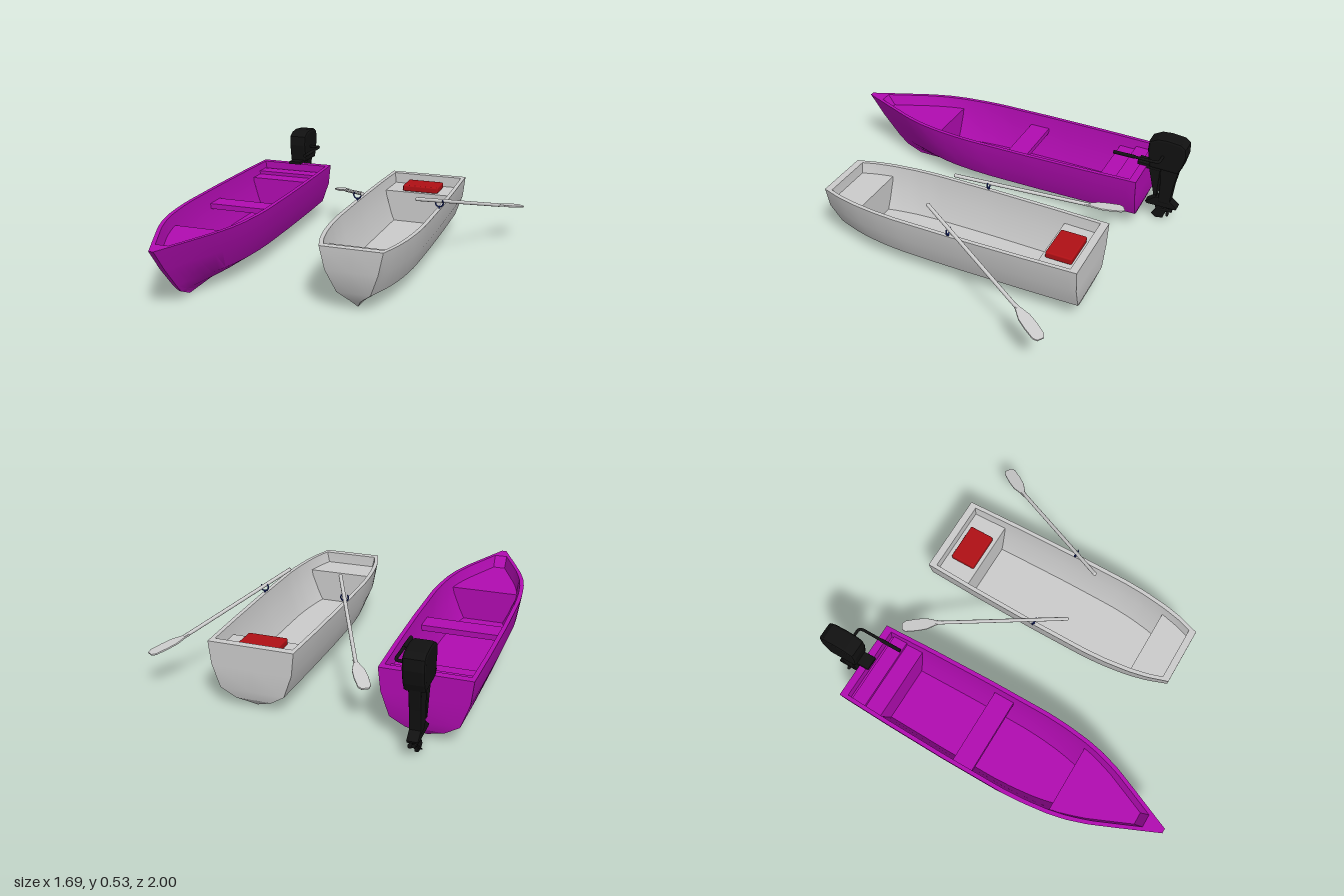
import * as THREE from 'three';
import { toCreasedNormals } from 'three/addons/utils/BufferGeometryUtils.js';
import { RoundedBoxGeometry } from 'three/addons/geometries/RoundedBoxGeometry.js';

const mat = (color, side = THREE.FrontSide) => new THREE.MeshStandardMaterial({ color, side });
const { lerp } = THREE.MathUtils;

function add(parent, name, geometry, material) {
  const mesh = new THREE.Mesh(geometry, material);
  mesh.name = name;
  parent.add(mesh);
  return mesh;
}

// Piecewise linear lookup
function table(xs, ys, x) {
  let i = 1;
  while (i < xs.length - 1 && x > xs[i]) i++;
  return lerp(ys[i - 1], ys[i], THREE.MathUtils.clamp((x - xs[i - 1]) / (xs[i] - xs[i - 1]), 0, 1));
}

// Surface through rows of points; capped ends fold to the centre line
function loft(rows, caps = true) {
  const fold = row => row.map(p => [0, p[1], p[2]]);
  const all = caps ? [fold(rows[0]), ...rows, fold(rows[rows.length - 1])] : rows;
  const n = all[0].length, index = [];
  for (let i = 0; i < all.length - 1; i++) {
    for (let j = 0; j < n - 1; j++) {
      const a = i * n + j, d = a + n;
      index.push(a, a + 1, d + 1, a, d + 1, d);
    }
  }
  const g = new THREE.BufferGeometry();
  g.setAttribute('position', new THREE.Float32BufferAttribute(all.flat(2), 3));
  g.setIndex(index);
  return toCreasedNormals(g, 0.45);
}

// Hull measures shared by both boats
const TOP = 0.34, FLOOR = 0.1, STERN = -0.79, WALL = 0.022;
const LEVELS = [0.005, 0.05, FLOOR, 0.22, TOP];
const WIDTH_RATIO = [0, 0.42, 0.75, 0.94, 1];
const STERN_Z = [-0.73, -0.775, STERN, STERN, STERN];
const PLAN_Z = [-0.79, -0.5, -0.15, 0.2, 0.32, 0.45, 0.55, 0.66, 0.8, 1];
const PLAN_W = [0.223, 0.233, 0.24, 0.24, 0.233, 0.217, 0.196, 0.16, 0.1, 0.013];

function makeBoat(name, material, bowZ, bowInset, pinch) {
  const boat = new THREE.Group();
  boat.name = name;
  const bow = bowZ[4], length = bow - STERN;
  const zAt = (y, s) => lerp(table(LEVELS, STERN_Z, y), table(LEVELS, bowZ, y), s);
  const halfAt = (y, s) => table(PLAN_Z, PLAN_W, lerp(STERN, bow, s)) *
    (table(LEVELS, WIDTH_RATIO, y) - (y > 0.01 ? pinch * (1 - y / TOP) * s ** 8 : 0));
  const innerHalf = (y, s) => Math.max(0.006, halfAt(y, s) - WALL);
  const steps = 36, s0 = 0.04 / length, s1 = 1 - bowInset / length;

  // Outer skin, inner skin with floor, and the rim joining them
  const outer = [], inner = [], rimOut = [], rimIn = [];
  for (let i = 0; i <= steps; i++) {
    const s = i / steps, t = lerp(s0, s1, s);
    const o = LEVELS.map(y => [halfAt(y, s), y, zAt(y, s)]);
    const n = [[0, FLOOR, zAt(FLOOR, t)], ...[FLOOR, 0.22, TOP].map(y => [innerHalf(y, t), y, zAt(y, t)])];
    const mirror = half => [...half.slice(1).reverse().map(p => [-p[0], p[1], p[2]]), ...half];
    outer.push(mirror(o));
    inner.push(mirror(n).reverse());
    rimOut.push(o[4]);
    rimIn.push(n[3]);
  }
  const ring = side => [...side, ...side.map(p => [-p[0], p[1], p[2]]).reverse(), side[0]];
  add(boat, 'hull', loft(outer), material);
  add(boat, 'hullInterior', loft(inner), material);
  add(boat, 'gunwale', loft([ring(rimIn), ring(rimOut)], false), material);

  // Board spanning the boat from wall to wall
  const board = (label, z0, z1, y0, y1) => {
    const rows = [];
    for (let i = 0; i <= 8; i++) {
      const z = lerp(z0, z1, i / 8);
      const half = y => innerHalf(y, THREE.MathUtils.clamp((z - zAt(y, 0)) / (zAt(y, 1) - zAt(y, 0)), 0, 1)) + 0.004;
      const a = half(y0), b = half(y1);
      rows.push([[-b, y1, z], [-a, y0, z], [a, y0, z], [b, y1, z], [-b, y1, z]]);
    }
    add(boat, label, loft(rows), material);
  };
  board('sternSeat', -0.755, -0.56, FLOOR, 0.28);
  board('bowSeat', 0.45, bow - bowInset, 0.255, 0.28);
  board('bowBulkhead', 0.45, 0.465, FLOOR, 0.27);
  return { boat, board };
}

// Side profile of [z, y] points extruded across x
function profile(points, width, bevel = 0.008) {
  const shape = new THREE.Shape(points.map(p => new THREE.Vector2(...p)));
  const depth = width - 2 * bevel;
  return new THREE.ExtrudeGeometry(shape, {
    depth, bevelEnabled: bevel > 0, bevelSize: bevel, bevelOffset: -bevel, bevelThickness: bevel, bevelSegments: 2,
  }).translate(0, 0, -depth / 2).rotateY(-Math.PI / 2);
}

function makeMotor() {
  const motor = new THREE.Group();
  motor.name = 'outboardMotor';
  const black = mat(0x111111);
  add(motor, 'engineCover', profile([[-0.805, 0.345], [-0.965, 0.34], [-0.985, 0.38], [-1, 0.45], [-0.995, 0.505],
    [-0.965, 0.527], [-0.89, 0.535], [-0.835, 0.53], [-0.79, 0.505], [-0.787, 0.45]], 0.106, 0.014), black);
  add(motor, 'leg', profile([[-0.86, 0.35], [-0.968, 0.35], [-0.95, 0.24], [-0.94, 0.12], [-0.875, 0.12], [-0.872, 0.24]], 0.06), black);
  add(motor, 'clampTop', profile([[-0.735, 0.356], [-0.735, 0.34], [-0.8, 0.325], [-0.87, 0.325], [-0.87, 0.35]], 0.075, 0.004), black);
  add(motor, 'clampBracket', profile([[-0.797, 0.345], [-0.866, 0.345], [-0.862, 0.16], [-0.845, 0.16], [-0.822, 0.25]], 0.06, 0.004), black);
  add(motor, 'splashPlate', profile([[-0.86, 0.15], [-0.802, 0.105], [-0.81, 0.093], [-0.98, 0.093], [-0.985, 0.105], [-0.94, 0.14]], 0.055, 0.004), black);
  add(motor, 'skeg', profile([[-0.85, 0.1], [-0.93, 0.1], [-0.92, 0.05], [-0.908, 0.01], [-0.868, 0.003], [-0.84, 0.022], [-0.862, 0.06]], 0.02, 0.004), black);

  // Propeller
  const hub = add(motor, 'propellerHub', new THREE.CylinderGeometry(0.01, 0.014, 0.06, 12).rotateX(-Math.PI / 2), black);
  hub.position.set(0, 0.065, -0.925);
  for (let i = 0; i < 3; i++) {
    const blade = add(motor, 'propellerBlade', new THREE.SphereGeometry(1, 10, 6).scale(0.013, 0.018, 0.003).rotateY(0.6).translate(0, 0.022, 0), black);
    blade.position.set(0, 0.065, -0.935);
    blade.rotation.z = i * Math.PI * 2 / 3;
  }

  // Tiller arm with grip
  const bend = [[0.03, 0.43, -0.875], [0.1, 0.43, -0.875], [0.113, 0.43, -0.87], [0.118, 0.43, -0.85], [0.118, 0.43, -0.62]];
  const path = new THREE.CurvePath();
  const pts = bend.map(p => new THREE.Vector3(...p));
  for (let i = 1; i < pts.length; i++) path.add(new THREE.LineCurve3(pts[i - 1], pts[i]));
  add(motor, 'tiller', new THREE.TubeGeometry(path, 60, 0.008, 10), black);
  add(motor, 'tillerGrip', new THREE.CylinderGeometry(0.01, 0.01, 0.12, 12).rotateX(Math.PI / 2).translate(0.118, 0.43, -0.68), black);
  return motor;
}

// Oar with its lock; side is +1 or -1
function makeOar(side) {
  const oar = new THREE.Group();
  oar.name = side > 0 ? 'leftOar' : 'rightOar';
  const grey = mat(0xcccccc), blue = mat(0x1a2a80);
  const v = (x, y, z) => new THREE.Vector3(side * x, y, z);
  const handle = v(0.15, 0.426, 0.04), neck = v(0.465, 0.243, -0.6), tip = v(0.558, 0.207, -0.745);
  add(oar, 'oarShaft', new THREE.TubeGeometry(new THREE.LineCurve3(handle, neck), 1, 0.01, 10), grey);
  const cap = add(oar, 'handleEnd', new THREE.SphereGeometry(0.0105, 10, 8), grey);
  cap.position.copy(handle);

  // Blade lies flat along the line from neck to tip
  const dir = tip.clone().sub(neck), len = dir.length() + 0.02;
  dir.normalize();
  const across = new THREE.Vector3().crossVectors(dir, new THREE.Vector3(0, 1, 0)).normalize();
  const normal = new THREE.Vector3().crossVectors(across, dir);
  const half = [[0.009, -0.03], [0.014, 0], [0.032, 0.055], [0.035, 0.11], [0.032, len - 0.02], [0.018, len]];
  const outline = [...half, ...half.map(p => [-p[0], p[1]]).reverse()].map(p => new THREE.Vector2(...p));
  const blade = add(oar, 'oarBlade', new THREE.ExtrudeGeometry(new THREE.Shape(outline), {
    depth: 0.004, bevelSize: 0.003, bevelOffset: -0.003, bevelThickness: 0.003, bevelSegments: 2,
  }).translate(0, 0, -0.002), grey);
  blade.quaternion.setFromRotationMatrix(new THREE.Matrix4().makeBasis(across, dir, normal));
  blade.position.copy(neck);

  // Open ring on a short pin
  const lock = new THREE.Group();
  lock.name = 'oarlock';
  lock.position.set(side * 0.23, 0.37, -0.115);
  add(lock, 'lockRing', new THREE.TorusGeometry(0.021, 0.004, 8, 24, Math.PI * 1.5).rotateZ(Math.PI * 0.75), blue);
  add(lock, 'lockPin', new THREE.CylinderGeometry(0.005, 0.005, 0.045, 10).translate(0, -0.04, 0), blue);
  oar.add(lock);
  return oar;
}

export function createModel() {
  const model = new THREE.Group();
  model.name = 'boats';

  // Pointed motor boat
  const motorBoat = makeBoat('motorBoat', mat(0xb10cb1, THREE.DoubleSide), [0.66, 0.755, 0.805, 0.91, 1], 0.1, 0);
  motorBoat.board('middleBench', -0.11, 0.005, 0.24, 0.27);
  motorBoat.board('sternStep', -0.735, -0.655, 0.27, 0.3);
  motorBoat.boat.add(makeMotor());
  motorBoat.boat.position.x = -0.6;

  // Blunt rowing boat
  const rowBoat = makeBoat('rowBoat', mat(0xcccccc, THREE.DoubleSide), [0.545, 0.59, 0.62, 0.655, 0.66], 0.038, 0.3);
  const cushion = add(rowBoat.boat, 'cushion', new RoundedBoxGeometry(0.21, 0.036, 0.14, 3, 0.008), mat(0xb01015));
  cushion.position.set(0, 0.297, -0.65);
  rowBoat.boat.add(makeOar(1), makeOar(-1));
  rowBoat.boat.position.x = 0.26;

  model.add(motorBoat.boat, rowBoat.boat);
  return model;
}
